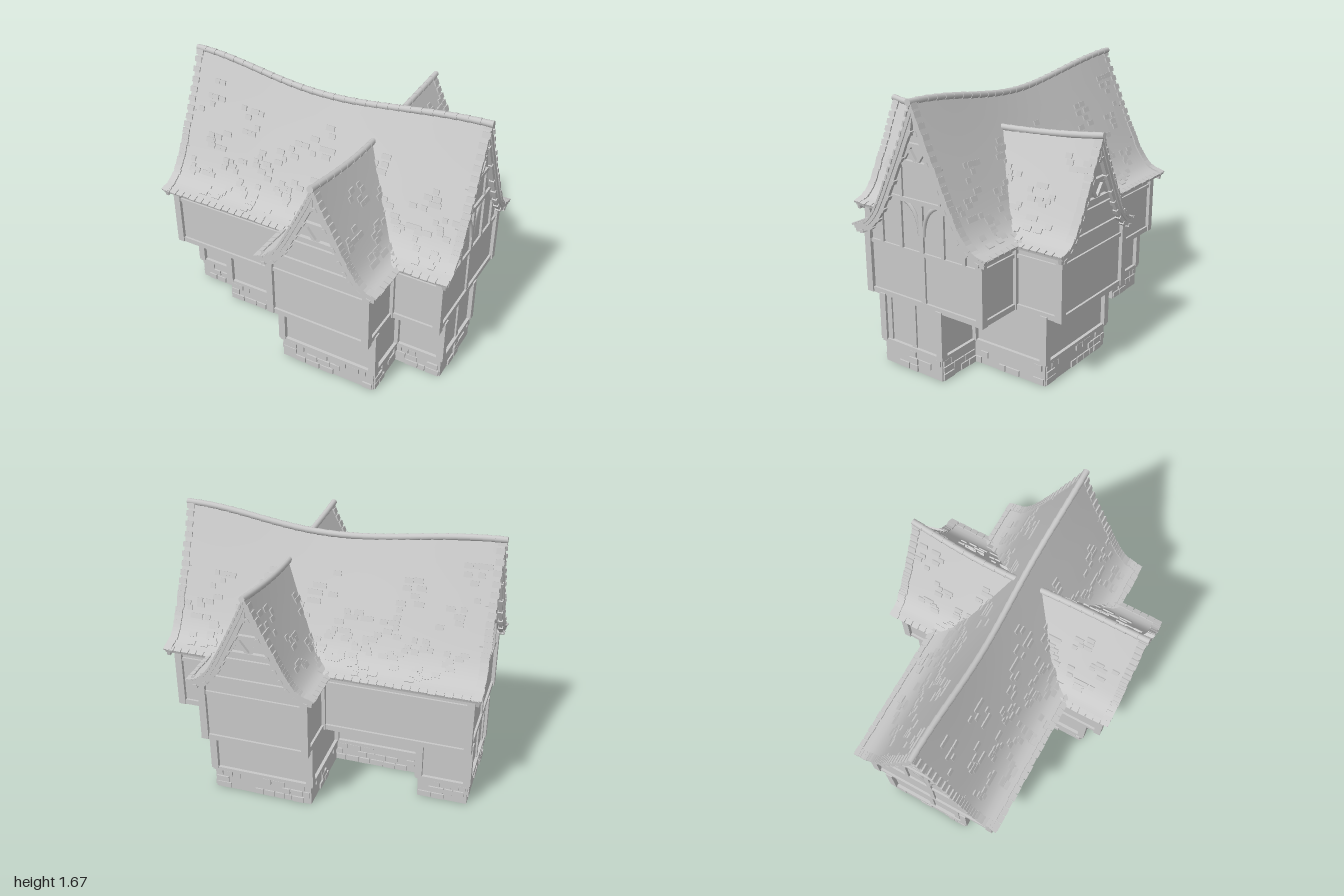
import * as THREE from 'three';
import { mergeGeometries, toCreasedNormals } from 'three/addons/utils/BufferGeometryUtils.js';

const V3 = (x, y, z) => new THREE.Vector3(x, y, z);

export function createModel() {
  const model = new THREE.Group();
  model.name = 'timberHouse';
  const grey = new THREE.MeshStandardMaterial({ color: 0xc8c8c8 });
  grey.name = 'plain grey';

  let seed = 7;
  const rnd = () => (seed = (seed * 16807) % 2147483647) / 2147483647;
  const flat = (g) => (g.index ? g.toNonIndexed() : g);
  const add = (parent, name, geos) => {
    const mesh = new THREE.Mesh(geos.length > 1 ? mergeGeometries(geos.map(flat)) : geos[0], grey);
    mesh.name = name;
    parent.add(mesh);
  };
  const box = (w, h, d, x, y, z) => new THREE.BoxGeometry(w, h, d).translate(x, y, z);

  // ---- Floor plans, as corner lists in (x, z) ----
  const groundPlan = [[-0.925, 0.22], [-0.62, 0.22], [-0.62, 0.32], [-0.01, 0.32], [-0.01, 0.625], [0.62, 0.625],
    [0.62, 0.32], [0.925, 0.32], [0.925, -0.115], [0.62, -0.115], [0.62, -0.625], [-0.01, -0.625],
    [-0.01, -0.115], [-0.62, -0.115], [-0.62, -0.33], [-0.925, -0.33]];
  const upperPlan = [[-0.925, 0.415], [-0.02, 0.415], [-0.02, 0.725], [0.62, 0.725], [0.62, 0.415], [0.925, 0.415],
    [0.925, -0.415], [0.62, -0.415], [0.62, -0.725], [-0.02, -0.725], [-0.02, -0.415], [-0.925, -0.415]];

  const edges = (plan) => plan.map((a, i) => {
    const b = plan[(i + 1) % plan.length];
    const len = Math.hypot(b[0] - a[0], b[1] - a[1]);
    const dir = [(b[0] - a[0]) / len, (b[1] - a[1]) / len];
    return { a, b, len, dir, n: [-dir[1], dir[0]] };
  });
  const grow = (plan, o) => {
    const es = edges(plan);
    return plan.map((p, i) => {
      const e = es[i], f = es[(i + plan.length - 1) % plan.length];
      return new THREE.Vector2(p[0] + (e.n[0] + f.n[0]) * o, -(p[1] + (e.n[1] + f.n[1]) * o));
    });
  };
  // Extrude a plan upward; an inner offset makes it a hollow ring
  const slab = (plan, y0, y1, outer, inner) => {
    const shape = new THREE.Shape(grow(plan, outer));
    if (inner !== undefined) shape.holes.push(new THREE.Path(grow(plan, inner)));
    return new THREE.ExtrudeGeometry(shape, { depth: y1 - y0, bevelEnabled: false })
      .rotateX(-Math.PI / 2).translate(0, y0, 0);
  };
  const posts = (plan, y0, y1) => plan.map(([x, z]) => box(0.045, y1 - y0, 0.045, x, (y0 + y1) / 2, z));

  // ---- Stone base with raised stones ----
  add(model, 'stoneBase', [slab(groundPlan, 0, 0.14, 0.004, -0.035)]);
  const stones = [];
  for (const e of edges(groundPlan)) {
    for (let row = 0; row < 3; row++) {
      for (let s = 0; s < e.len - 0.04;) {
        const w = Math.min(0.045 + rnd() * 0.06, e.len - s);
        if (rnd() < 0.6) {
          const m = s + w / 2, o = 0.005 + rnd() * 0.004;
          stones.push(new THREE.BoxGeometry(w - 0.008, 0.038, 0.014).rotateY(Math.atan2(-e.dir[1], e.dir[0]))
            .translate(e.a[0] + e.dir[0] * m + e.n[0] * o, 0.024 + row * 0.045, e.a[1] + e.dir[1] * m + e.n[1] * o));
        }
        s += w;
      }
    }
  }
  add(model, 'raisedStones', stones);

  // ---- Walls and their timber frame ----
  add(model, 'groundFloorWalls', [slab(groundPlan, 0.13, 0.45, -0.004)]);
  add(model, 'upperFloorWalls', [slab(upperPlan, 0.445, 0.835, 0)]);
  add(model, 'groundFloorFrame', [slab(groundPlan, 0.135, 0.158, 0.016, -0.03), ...posts(groundPlan, 0.15, 0.45),
    ...[0.28, 0.09].flatMap((z) => [box(0.02, 0.29, 0.035, 0.922, 0.3, z), box(0.02, 0.29, 0.035, -0.922, 0.3, z - 0.12)])]);
  add(model, 'upperFloorFrame', [slab(upperPlan, 0.438, 0.472, 0.014, -0.03), slab(upperPlan, 0.757, 0.78, 0.012, -0.03),
    ...posts(upperPlan, 0.44, 0.84),
    ...[-1, 1].map((s) => box(0.02, 0.32, 0.035, s * 0.927, 0.61, 0))]);
  const planks = [];
  for (let z = 0.13; z < 0.4; z += 0.036)
    for (const s of [-1, 1]) planks.push(box(1.8, 0.012, 0.03, 0, 0.441, s * z));
  add(model, 'overhangPlanks', planks);

  // ---- Flared roof profile: x is the share of half width, y the share of height ----
  const profile = new THREE.SplineCurve([[0, 1], [0.2, 0.72], [0.41, 0.44], [0.55, 0.26], [0.67, 0.13], [0.82, 0.035], [1, 0]]
    .map((p) => new THREE.Vector2(...p))).getPoints(18);

  // A gabled roof running along local z, with its gable walls and trim
  function gabledRoof(name, { L, W, eave, ridge, wallHalf, wallZ, collars, tileClusters, capParts }) {
    const g = new THREE.Group();
    g.name = name;
    // Half cross-section at station s, pushed inward by d
    const half = (s, d) => {
      const H = ridge(s) - eave, pts = profile.map((p) => new THREE.Vector2(p.x * W, eave + p.y * H));
      return pts.map((p, i) => {
        const t = pts[Math.min(i + 1, 18)].clone().sub(pts[Math.max(i - 1, 0)]).normalize();
        return i === 0 ? new THREE.Vector2(0, p.y - d * 2.2) : new THREE.Vector2(Math.max(0, p.x + t.y * d), p.y - t.x * d);
      });
    };
    const full = (s, d) => {
      const h = half(s, d);
      return [...h.slice(1).reverse().map((p) => new THREE.Vector2(-p.x, p.y)), ...h];
    };
    const bandShape = (s, d0, d1) => new THREE.Shape([...full(s, d0), ...full(s, d1).reverse()]);

    // Roof shell lofted through sagging stations
    const N = 32, pos = [], idx = [];
    for (let i = 0; i <= N; i++) {
      const s = -L + (2 * L * i) / N;
      for (const p of [...full(s, 0), ...full(s, 0.025).reverse()]) pos.push(p.x, p.y, s);
    }
    const K = 74, m = 37;
    for (let i = 0; i < N; i++)
      for (let j = 0; j < K; j++) {
        const k = (j + 1) % K, a = i * K + j, b = a + K, c = (i + 1) * K + k, d = i * K + k;
        idx.push(a, b, c, a, c, d);
      }
    for (let j = 0; j < m - 1; j++) {
      const q = [j, K - 1 - j, K - 2 - j, j + 1], e = q.map((v) => v + N * K);
      idx.push(e[0], e[1], e[2], e[0], e[2], e[3], q[0], q[2], q[1], q[0], q[3], q[2]);
    }
    const shell = new THREE.BufferGeometry();
    shell.setAttribute('position', new THREE.Float32BufferAttribute(pos, 3));
    shell.setIndex(idx);
    add(g, 'roofShell', [toCreasedNormals(shell, 0.6)]);

    // Tiles laid on the slope; u runs from ridge (0) to eave (1)
    const tiles = [];
    const tile = (s, u, side, w, d, lift) => {
      const h = half(s, 0), f = Math.min(u, 0.999) * 18, i = Math.floor(f);
      const p = h[i].clone().lerp(h[i + 1], f - i), t = h[i + 1].clone().sub(h[i]).normalize();
      const T = V3(side * t.x, t.y, 0), Nn = V3(-side * t.y, t.x, 0);
      tiles.push(new THREE.BoxGeometry(w, 0.012, d).rotateX(0.1).applyMatrix4(
        new THREE.Matrix4().makeBasis(Nn.clone().cross(T), Nn, T).setPosition(V3(side * p.x, p.y, s).addScaledVector(Nn, lift))));
    };
    for (const side of [-1, 1]) {
      for (let c = 0; c < tileClusters; c++) {
        const s0 = -L + 0.1 + ((c + rnd() * 0.8) / tileClusters) * (2 * L - 0.2), u0 = 0.12 + (((c * 0.618) % 1) * 0.72);
        for (let k = 0; k < 8; k++)
          tile(s0 + (rnd() - 0.5) * 0.17, u0 + Math.floor(rnd() * 5) * 0.032, side, 0.03 + rnd() * 0.03, 0.032, 0.001);
      }
      for (const e of [-1, 1])
        for (let k = 0; k < 25; k++) tile(e * (L - 0.022 + rnd() * 0.007), (k + 0.5) / 25, side, 0.05, 0.034, 0.002);
      for (let s = -L + 0.03; s < L - 0.02; s += 0.05) tile(s, 0.985, side, 0.044, 0.03 + rnd() * 0.012, 0);
    }
    add(g, 'roofTiles', tiles);

    // Ridge cap of short, slightly tapered pieces
    const caps = [], capL = L + 0.012;
    const at = (i) => { const s = -capL + (2 * capL * i) / capParts; return V3(0.008 * Math.sin(s * 5), ridge(s) + 0.001, s); };
    for (let i = 0; i < capParts; i++) {
      const a = at(i), b = at(i + 1), dir = b.clone().sub(a);
      caps.push(new THREE.CylinderGeometry(0.021, 0.018, dir.length(), 10)
        .applyQuaternion(new THREE.Quaternion().setFromUnitVectors(V3(0, 1, 0), dir.clone().normalize()))
        .translate(...a.add(b).multiplyScalar(0.5).toArray()));
    }
    add(g, 'ridgeCap', caps);

    // Gable ends
    const beam = (x0, y0, x1, y1, w, d, z) => new THREE.BoxGeometry(Math.hypot(x1 - x0, y1 - y0), w, d)
      .rotateZ(Math.atan2(y1 - y0, x1 - x0)).translate((x0 + x1) / 2, (y0 + y1) / 2, z);
    for (const e of [-1, 1]) {
      const end = new THREE.Group();
      end.name = e > 0 ? 'gableFront' : 'gableRear';
      g.add(end);
      const H = ridge(L) - eave;
      const halfAt = (y) => {
        const h = half(L, 0.03), i = h.findIndex((p) => p.y < y);
        return h[i].x + ((h[i - 1].x - h[i].x) * (y - h[i].y)) / (h[i - 1].y - h[i].y);
      };
      const wall = new THREE.Shape([new THREE.Vector2(-wallHalf, 0.8), new THREE.Vector2(wallHalf, 0.8),
        ...full(wallZ, 0.02).filter((p) => Math.abs(p.x) < wallHalf).reverse()]);
      add(end, 'gableWall', [new THREE.ExtrudeGeometry(wall, { depth: 0.03, bevelEnabled: false }).translate(0, 0, e * (wallZ - 0.015) - 0.015)]);

      // Bargeboards with peg ends
      const zb = e * (L - 0.018);
      const boards = [new THREE.ExtrudeGeometry(bandShape(L, 0.02, 0.05), { depth: 0.022, bevelEnabled: false }).translate(0, 0, zb - 0.011)];
      const h = half(L, 0.047);
      for (const side of [-1, 1])
        for (let i = 2; i < 17; i += 2) {
          const t = h[i + 1].clone().sub(h[i]).normalize();
          boards.push(beam(side * h[i].x, h[i].y, side * (h[i].x + t.x * 0.028), h[i].y + t.y * 0.028, 0.022, 0.032, zb));
        }
      add(end, 'bargeboards', boards);

      // Truss: two collars, a king post and crossed braces
      const [y0, y1] = collars.map((c) => eave + c * H), zt = e * (L - 0.035), w0 = halfAt(y0), w1 = halfAt(y1);
      add(end, 'gableTruss', [beam(-w0, y0, w0, y0, 0.024, 0.024, zt), beam(-w1, y1, w1, y1, 0.022, 0.022, zt),
        beam(0, y0, w1 * 0.95, y1, 0.02, 0.018, zt), beam(0, y0, -w1 * 0.95, y1, 0.02, 0.018, zt),
        beam(-w0 * 0.85, y0, -w0 * 0.3, y1, 0.018, 0.016, zt), beam(w0 * 0.85, y0, w0 * 0.3, y1, 0.018, 0.016, zt)]);

      // Wall timbers; the tall gable also has posts and arched braces
      const zw = e * (wallZ + 0.004);
      if (wallHalf > 0.4) {
        const timbers = [beam(-0.26, 1.075, 0.26, 1.075, 0.026, 0.02, zw), beam(-0.16, 1.285, 0.16, 1.285, 0.024, 0.02, zw),
          beam(0, 0.78, 0, 1.07, 0.03, 0.02, zw)];
        for (const s of [-1, 1]) {
          timbers.push(beam(s * 0.155, 0.78, s * 0.155, 1.07, 0.024, 0.02, zw), beam(s * 0.305, 0.78, s * 0.305, 0.95, 0.024, 0.02, zw),
            beam(s * 0.14, 1.08, s * 0.14, 1.28, 0.016, 0.016, zw),
            new THREE.TubeGeometry(new THREE.QuadraticBezierCurve3(V3(s * 0.015, 0.88, zw), V3(s * 0.02, 1.03, zw), V3(s * 0.12, 1.07, zw)), 8, 0.013, 5));
        }
        add(end, 'gableTimbers', timbers);
      } else {
        add(end, 'gableTimbers', [beam(-0.2, 1.02, 0.2, 1.02, 0.022, 0.02, zw), beam(-0.28, 0.885, 0.28, 0.885, 0.022, 0.02, zw)]);
      }
    }
    model.add(g);
    return g;
  }

  gabledRoof('mainRoof', {
    L: 0.983, W: 0.485, eave: 0.862, ridge: (s) => 1.553 + 0.0475 * (1 - Math.cos(Math.PI * s)),
    wallHalf: 0.415, wallZ: 0.925, collars: [0.56, 0.69], tileClusters: 26, capParts: 28,
  }).rotation.y = Math.PI / 2;
  gabledRoof('crossWingRoof', {
    L: 0.775, W: 0.387, eave: 0.86, ridge: (s) => 1.385 + 0.06 * (s / 0.78) ** 2,
    wallHalf: 0.32, wallZ: 0.725, collars: [0.37, 0.56], tileClusters: 16, capParts: 22,
  }).position.x = 0.302;

  return model;
}
